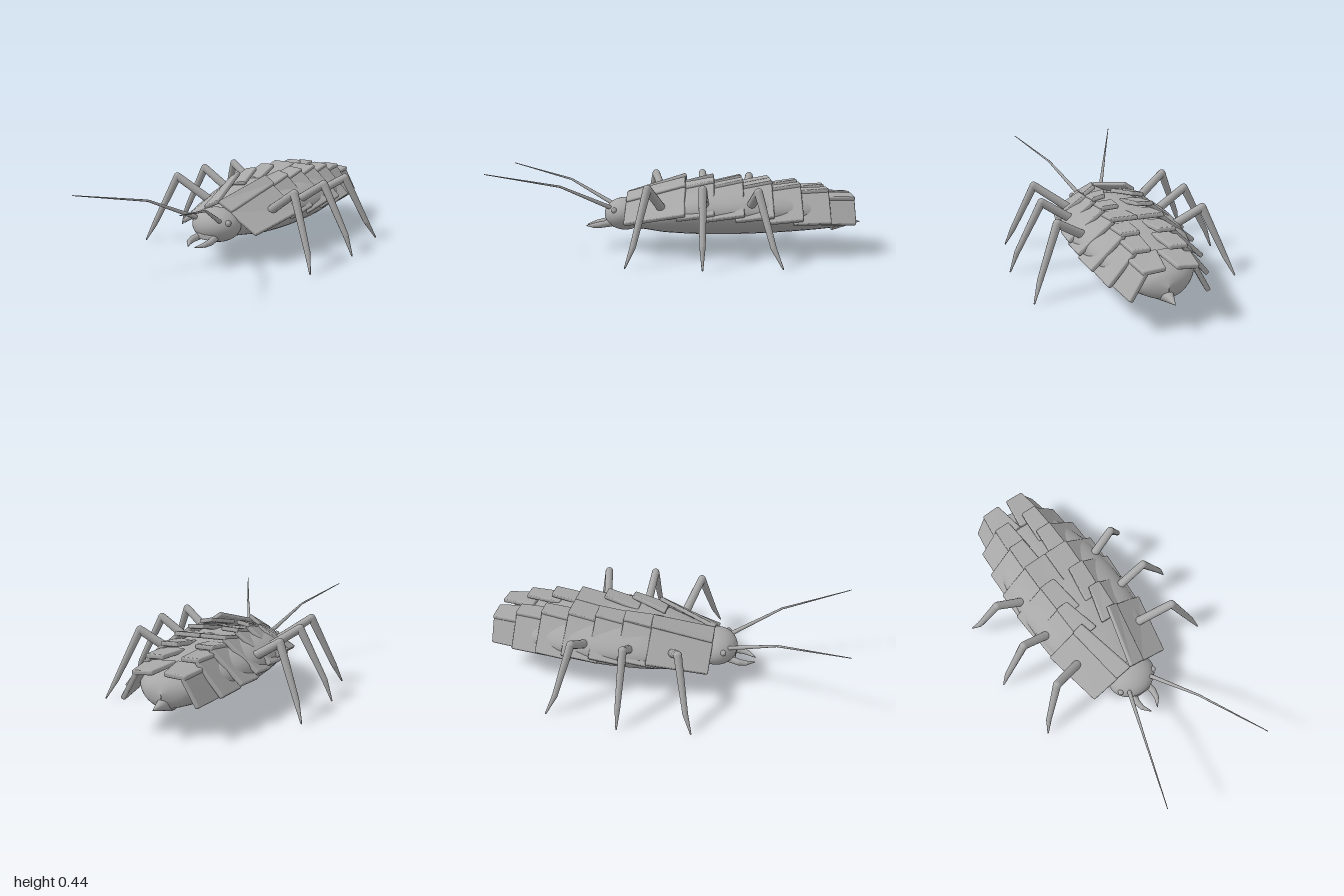
import * as THREE from 'three';
import { RoundedBoxGeometry } from 'three/addons/geometries/RoundedBoxGeometry.js';

const V = (x, y, z) => new THREE.Vector3(x, y, z);
const shell = new THREE.MeshStandardMaterial({ color: 0xa8a8a8 });
shell.name = 'grey shell';

function add(parent, name, geometry) {
  const mesh = new THREE.Mesh(geometry, shell);
  mesh.name = name;
  parent.add(mesh);
  return mesh;
}

// Smooth tapering limb: cones between joints, spheres on the joints
function limb(name, points, radii) {
  const group = new THREE.Group();
  group.name = name;
  points.forEach((p, i) => {
    add(group, 'joint', new THREE.SphereGeometry(radii[i], 12, 8)).position.copy(p);
    if (!i) return;
    const a = points[i - 1], dir = p.clone().sub(a);
    const seg = add(group, 'segment', new THREE.CylinderGeometry(radii[i], radii[i - 1], dir.length(), 12, 1, true));
    seg.position.copy(a).lerp(p, 0.5);
    seg.quaternion.setFromUnitVectors(V(0, 1, 0), dir.normalize());
  });
  return group;
}

// Closed body from elliptical sections [z, half width, bottom, top], front to back
function loft(sections, sides) {
  const rows = [0, 1, 2, 3].map(k => new THREE.CatmullRomCurve3(sections.map(s => V(s[k], 0, 0)), false, 'catmullrom', 0.4));
  const n = 48, pos = [], index = [];
  for (let i = 0; i <= n; i++) {
    const [z, w, lo, hi] = rows.map(c => c.getPoint(i / n).x);
    const mid = lo + (hi - lo) * 0.52;
    for (let j = 0; j < sides; j++) {
      const a = j / sides * Math.PI * 2, s = Math.sin(a);
      pos.push(Math.cos(a) * Math.max(w, 0.001), mid + s * (s > 0 ? hi - mid : mid - lo), z);
      if (i < n) {
        const p = i * sides + j, q = i * sides + (j + 1) % sides;
        index.push(p, p + sides, q, q, p + sides, q + sides);
      }
    }
  }
  const g = new THREE.BufferGeometry();
  g.setAttribute('position', new THREE.Float32BufferAttribute(pos, 3));
  g.setIndex(index);
  g.computeVertexNormals();
  return g;
}

// Rounded plate stretched over four corners: front inner, front outer, rear inner, rear outer
function plate(corners, side) {
  const [fi, fo, ri, ro] = corners.map(c => V(c.x * side, c.y, c.z));
  const [fa, fb, ra, rb] = side > 0 ? [fi, fo, ri, ro] : [fo, fi, ro, ri];
  const w = ra.distanceTo(rb), l = ra.distanceTo(fa);
  const up = fa.clone().add(fb).sub(ra).sub(rb).cross(fb.clone().add(rb).sub(fa).sub(ra)).normalize();
  const g = new RoundedBoxGeometry(w, 0.024, l, 2, 0.008);
  const p = g.attributes.position;
  for (let i = 0; i < p.count; i++) {
    const u = p.getX(i) / w + 0.5, v = p.getZ(i) / l + 0.5;
    const q = ra.clone().lerp(rb, u).lerp(fa.clone().lerp(fb, u), v).addScaledVector(up, p.getY(i) - 0.012);
    p.setXYZ(i, q.x, q.y, q.z);
  }
  g.computeVertexNormals();
  return g;
}

export function createModel() {
  const model = new THREE.Group();
  model.name = 'armouredInsect';

  // Soft body under the armour
  add(model, 'body', loft([
    [0.33, 0.06, 0.13, 0.24], [0.25, 0.12, 0.112, 0.265], [0.18, 0.18, 0.105, 0.285],
    [0.08, 0.25, 0.093, 0.315], [-0.08, 0.285, 0.085, 0.35], [-0.28, 0.295, 0.085, 0.358],
    [-0.48, 0.275, 0.092, 0.348], [-0.66, 0.23, 0.103, 0.325], [-0.8, 0.17, 0.115, 0.285],
    [-0.88, 0.1, 0.125, 0.25], [-0.92, 0, 0.16, 0.2],
  ], 40));

  // Tail spike
  const tail = add(model, 'tailSpike', new THREE.ConeGeometry(0.05, 0.16, 20));
  tail.rotation.x = -Math.PI / 2;
  tail.position.set(0, 0.15, -0.92);

  // Head
  const head = add(model, 'head', new THREE.SphereGeometry(1, 40, 24));
  head.scale.set(0.135, 0.09, 0.115);
  head.position.set(0, 0.19, 0.305);
  const lip = add(model, 'upperLip', new RoundedBoxGeometry(0.1, 0.03, 0.05, 2, 0.008));
  lip.position.set(0, 0.145, 0.39);

  // Armour rows: rear z, rear gap, seam x, outer x, ridge y, seam y, outer y,
  // length, front drop, splay, front gap
  const rows = [
    [-0.03, 0.09, 0.15, 0.31, 0.408, 0.36, 0.235, 0.325, 0.095, 0.065, 0.005],
    [-0.185, 0.075, 0.145, 0.308, 0.405, 0.385, 0.235, 0.2, 0.045, 0.012, 0.02],
    [-0.34, 0.05, 0.142, 0.32, 0.4, 0.39, 0.235, 0.2, 0.045, 0.012, 0.02],
    [-0.495, 0, 0.14, 0.312, 0.39, 0.385, 0.228, 0.2, 0.04, 0.003, 0],
    [-0.65, 0.045, 0.138, 0.292, 0.375, 0.368, 0.208, 0.2, 0.03, -0.006, 0.03],
    [-0.8, 0.045, 0.137, 0.255, 0.348, 0.342, 0.185, 0.2, 0.012, -0.012, 0.03],
    [-0.94, 0.028, 0.135, 0.198, 0.312, 0.298, 0.168, 0.19, -0.004, -0.03, 0],
  ];

  for (const side of [1, -1]) {
    const half = new THREE.Group();
    half.name = side > 0 ? 'leftSide' : 'rightSide';
    model.add(half);
    const path = list => list.map(([x, y, z]) => V(x * side, y, z));

    for (const [z, gap, seam, outer, yr, ys, yo, len, drop, splay, frontGap] of rows) {
      const zf = z + len, xs = seam - splay * 0.85;
      add(half, 'outerPlate', plate([
        V(xs - 0.01, ys - drop, zf), V(outer - splay, yo - drop * 0.65, zf),
        V(seam - 0.01, ys, z), V(outer, yo, z)], side));
      add(half, 'backPlate', plate([
        V(frontGap, yr - drop + 0.004, zf), V(xs, ys - drop + 0.008, zf),
        V(gap, yr + 0.003, z), V(seam, ys + 0.008, z)], side));
    }

    // Legs
    const legs = {
      frontLeg: [[0.21, 0.255, 0.095], [0.38, 0.375, 0.155], [0.5, 0.1, 0.22], [0.538, 0.004, 0.257]],
      middleLeg: [[0.245, 0.27, -0.135], [0.4, 0.375, -0.125], [0.54, 0.11, -0.125], [0.58, 0.004, -0.125]],
      rearLeg: [[0.235, 0.265, -0.375], [0.385, 0.36, -0.405], [0.495, 0.1, -0.475], [0.536, 0.004, -0.52]],
    };
    for (const name in legs) half.add(limb(name, path(legs[name]), [0.024, 0.022, 0.015, 0.004]));

    // Antenna, mandible and eye
    half.add(limb('antenna', path([[0.075, 0.235, 0.385], [0.18, 0.36, 0.635], [0.32, 0.44, 0.998]]), [0.012, 0.006, 0.002]));
    half.add(limb('mandible', path([[0.045, 0.142, 0.38], [0.056, 0.134, 0.435], [0.05, 0.128, 0.475], [0.022, 0.122, 0.52]]),
      [0.02, 0.018, 0.014, 0.003]));
    const eye = add(half, 'eye', new THREE.SphereGeometry(0.016, 16, 12));
    eye.position.set(side * 0.11, 0.222, 0.355);
  }
  return model;
}
